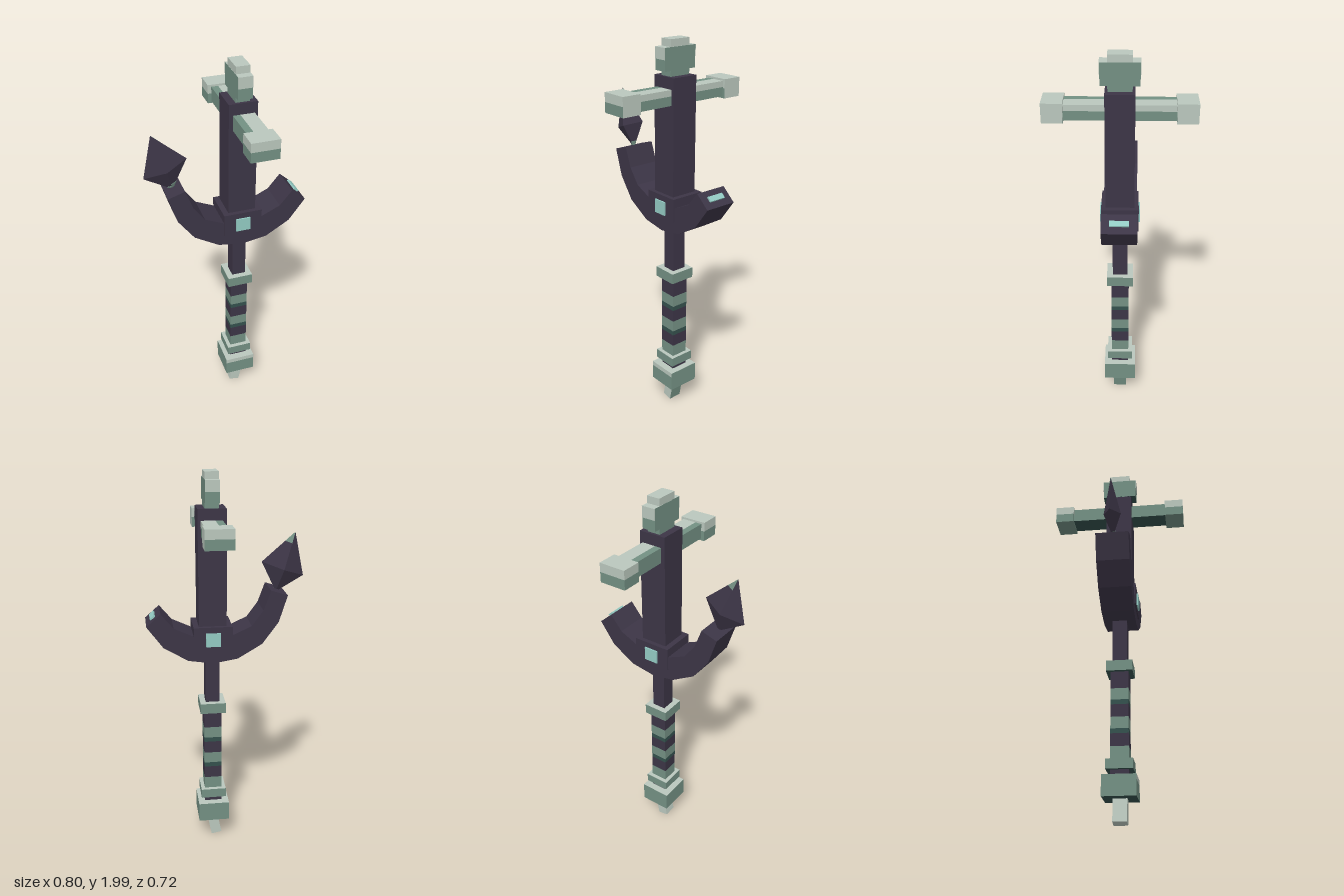
import * as THREE from 'three';
import { ConvexGeometry } from 'three/addons/geometries/ConvexGeometry.js';

const CX = 0.065; // x of the shaft's axis

export function createModel() {
  const root = new THREE.Group();
  root.name = 'anchorWeapon';
  const mat = (name, color) => {
    const m = new THREE.MeshStandardMaterial({ color });
    m.name = name;
    return m;
  };
  const iron = mat('darkIron', 0x3c3546);
  const light = mat('paleVerdigris', 0xbac7bd);
  const green = mat('verdigris', 0x739083);
  const deep = mat('deepVerdigris', 0x34514d);
  const teal = mat('tealGem', 0x93cbc3);

  const add = (name, geometry, material) => {
    const mesh = new THREE.Mesh(geometry, material);
    mesh.name = name;
    root.add(mesh);
    return mesh;
  };
  // Box from x, y and z ranges; material may be one per side (+x -x +y -y +z -z)
  const box = (name, [x0, x1], [y0, y1], [z0, z1], material) => {
    const mesh = add(name, new THREE.BoxGeometry(x1 - x0, y1 - y0, z1 - z0), material);
    mesh.position.set((x0 + x1) / 2, (y0 + y1) / 2, (z0 + z1) / 2);
    return mesh;
  };
  // Box centred on the shaft's axis, given half width and half depth
  const post = (name, hx, y, hz, material) => box(name, [CX - hx, CX + hx], y, [-hz, hz], material);
  const capped = (side, top, bottom) => [side, side, top, bottom, side, side];

  // Upper shaft and top finial
  post('shank', 0.07, [1.2, 1.83], 0.07, iron);
  post('finialNeck', 0.034, [1.83, 1.857], 0.057, green);
  post('finialBlock', 0.035, [1.857, 1.965], 0.092,
    [green, green, light, deep, green, green]);
  post('finialTop', 0.034, [1.965, 2], 0.057, light);
  for (const s of [1, -1]) {
    box('finialHighlight', [CX - 0.035, CX + 0.035], [1.91, 1.965],
      [s * 0.0935 - 0.0015, s * 0.0935 + 0.0015], light);
  }

  // Crossbar, pale above and green below, with blocks on both ends
  box('crossbarLower', [0.015, 0.12], [1.7, 1.745], [-0.27, 0.27], capped(green, green, deep));
  box('crossbarUpper', [0.05, 0.12], [1.745, 1.775], [-0.27, 0.27], light);
  box('crossbarEdge', [0.015, 0.05], [1.745, 1.775], [-0.27, 0.27], green);
  for (const s of [1, -1]) {
    const z = s > 0 ? [0.26, 0.36] : [-0.36, -0.26];
    box('crossbarCapLower', [-0.003, 0.133], [1.69, 1.74], z,
      [light, green, green, green, green, green]);
    box('crossbarCapUpper', [-0.003, 0.133], [1.74, 1.785], z, light);
  }

  // Curved arms, one faceted band from the spear side to the blunt side
  const outer = [[-0.31, 1.4], [-0.267, 1.263], [-0.185, 1.151], [-0.06, 1.077], [CX, 1.057],
    [0.192, 1.077], [0.315, 1.151], [0.397, 1.263]];
  const inner = [[0.325, 1.326], [0.262, 1.25], [0.163, 1.204], [CX, 1.19], [-0.034, 1.204],
    [-0.13, 1.247], [-0.188, 1.326], [-0.225, 1.427]];
  const outline = new THREE.Shape([...outer, ...inner].map(([x, y]) => new THREE.Vector2(x, y)));
  const arms = new THREE.ExtrudeGeometry(outline, { depth: 0.17, bevelEnabled: false });
  add('arms', arms.translate(0, 0, -0.085), iron);

  // Gem plate on the blunt arm's end
  const endGem = add('armGem', new THREE.BoxGeometry(0.028, 0.009, 0.09), teal);
  endGem.position.set(0.364, 1.298, 0);
  endGem.rotation.z = -0.72;

  // Hub with a gem on both faces
  post('hub', 0.098, [1.13, 1.25], 0.092, iron);
  for (const s of [1, -1]) {
    const z = s * 0.0955;
    post('hubGem', 0.037, [1.15, 1.22], 0.004, teal).position.z = z;
  }

  // Spear head
  const tip = new THREE.Vector3(-0.357, 1.7, 0);
  const base = new THREE.Vector3(-0.265, 1.4, 0);
  const leftCorner = new THREE.Vector3(-0.403, 1.48, 0);
  const rightCorner = new THREE.Vector3(-0.19, 1.555, 0);
  const front = new THREE.Vector3(-0.297, 1.518, 0.045);
  const back = new THREE.Vector3(-0.297, 1.518, -0.045);
  add('spearHead', new ConvexGeometry([tip, base, leftCorner, rightCorner, front, back]), iron);

  // Thin patina chip on a face of the spear head, starting at one end
  const chip = (end, a, b, t, dz) => {
    const face = [end.clone(), end.clone().lerp(a, t), end.clone().lerp(b, t)];
    const raised = face.map((p) => p.clone().add(new THREE.Vector3(0, 0, dz)));
    add('spearPatina', new ConvexGeometry([...face, ...raised]), green);
  };
  chip(tip, rightCorner, back, 0.3, -0.003);
  chip(base, rightCorner, front, 0.28, 0.003);
  chip(base, leftCorner, front, 0.2, 0.003);

  // Handle and banded grip
  post('handle', 0.036, [0.82, 1.08], 0.038, iron);
  const bands = [[0.23, 0.315, iron], [0.315, 0.38, green], [0.38, 0.445, iron],
    [0.445, 0.47, deep], [0.47, 0.53, green], [0.53, 0.595, iron],
    [0.595, 0.62, deep], [0.62, 0.68, green], [0.68, 0.77, iron]];
  for (const [y0, y1, m] of bands) post('gripBand', 0.046, [y0, y1], 0.046, m);
  post('upperCollar', 0.066, [0.77, 0.825], 0.068, capped(green, light, deep));
  post('lowerCollar', 0.066, [0.265, 0.315], 0.068, capped(green, light, deep));

  // Pommel and its crooked tip
  post('pommel', 0.082, [0.13, 0.21], 0.085, capped(green, light, deep));
  post('pommelTop', 0.082, [0.21, 0.235], 0.085, [green, green, light, green, light, green]);
  const spike = post('pommelTip', 0.028, [0.012, 0.15], 0.035,
    [green, light, light, light, light, light]);
  spike.position.x = 0.06;
  spike.rotation.z = -0.19;

  return root;
}
